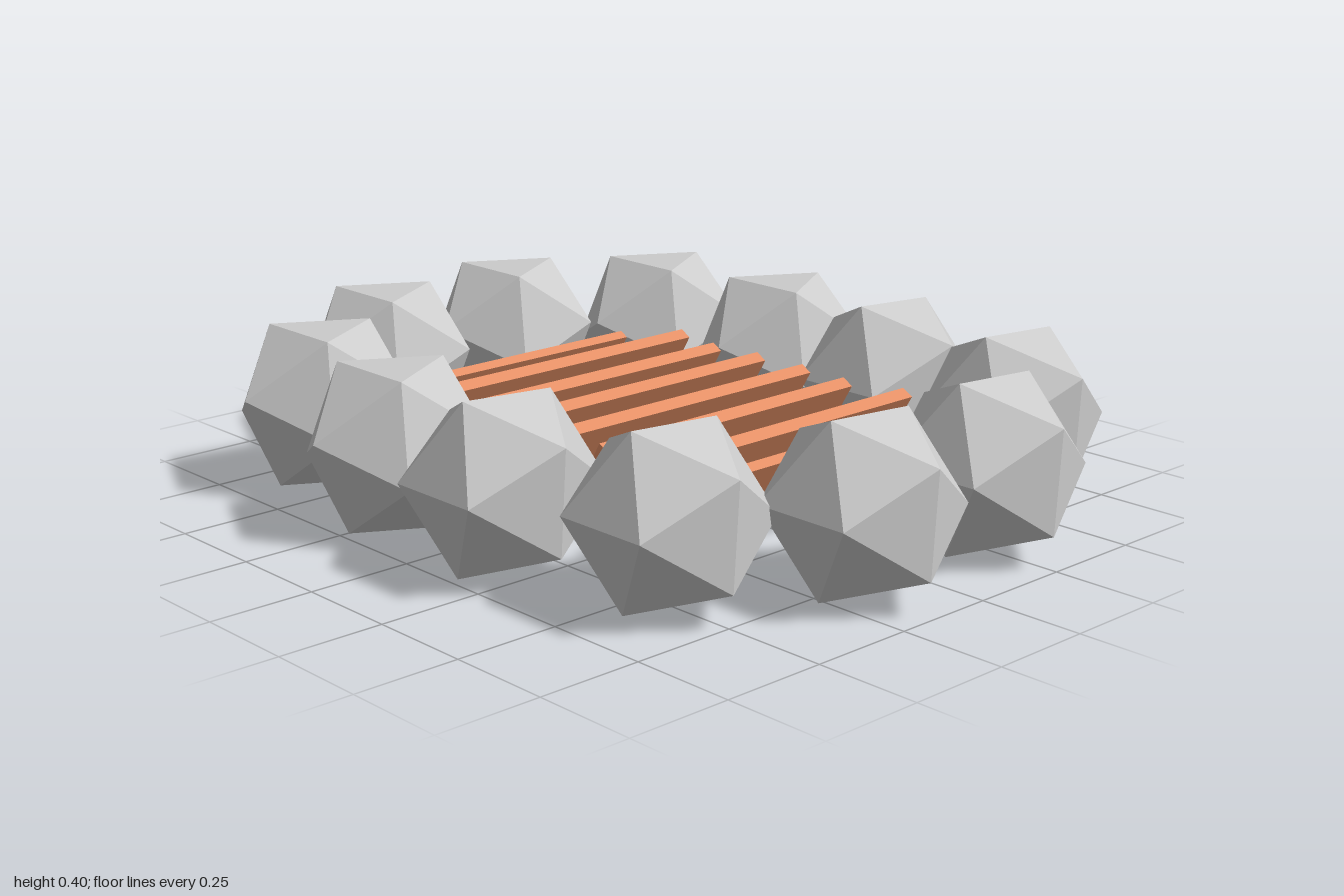
import * as THREE from 'three';

export function createModel() {
  const model = new THREE.Group();
  const stoneMat = new THREE.MeshStandardMaterial({ color: 0xcccccc, flatShading: true });
  const woodMat = new THREE.MeshStandardMaterial({ color: 0xe59066, flatShading: true });

  // Ring of faceted stones: each half of the ring shares one roll about z
  const stoneGeo = new THREE.IcosahedronGeometry(0.229, 0);
  const addStones = (name, roll, spots) => {
    const row = new THREE.Group();
    row.name = name;
    spots.forEach(([x, z]) => {
      const stone = new THREE.Mesh(stoneGeo, stoneMat);
      stone.name = 'stone';
      stone.position.set(x, 0.2025, z);
      stone.rotation.z = roll;
      row.add(stone);
    });
    model.add(row);
  };
  addStones('frontStones', -0.065, [
    [0.245, 0.803], [0.595, 0.59], [0.605, 0.195],
    [-0.62, 0.185], [-0.505, 0.58], [-0.16, 0.803],
  ]);
  // Rolled so that one triangular face lies flat on top
  addStones('backStones', -1.206, [
    [0.215, -0.805], [0.555, -0.588], [0.615, -0.19],
    [-0.62, -0.2], [-0.54, -0.592], [-0.195, -0.805],
  ]);

  // Tilted wooden slats inside the ring: [x, z, length, section scale]
  const slats = new THREE.Group();
  slats.name = 'slats';
  [
    [0.0275, -0.512, 0.61, 0.77], [0.0275, -0.378, 0.785, 1],
    [-0.0075, -0.225, 0.785, 1], [-0.0075, -0.083, 0.815, 1],
    [-0.0075, 0.072, 0.815, 1], [-0.0075, 0.223, 0.785, 1],
    [0.0275, 0.382, 0.785, 1], [0.0275, 0.512, 0.61, 0.77],
  ].forEach(([x, z, length, s]) => {
    const slat = new THREE.Mesh(new THREE.BoxGeometry(length, 0.0325 * s, 0.1375 * s), woodMat);
    slat.name = 'slat';
    slat.position.set(x, 0.19, z);
    slat.rotation.x = -1.035;
    slats.add(slat);
  });
  model.add(slats);

  return model;
}
